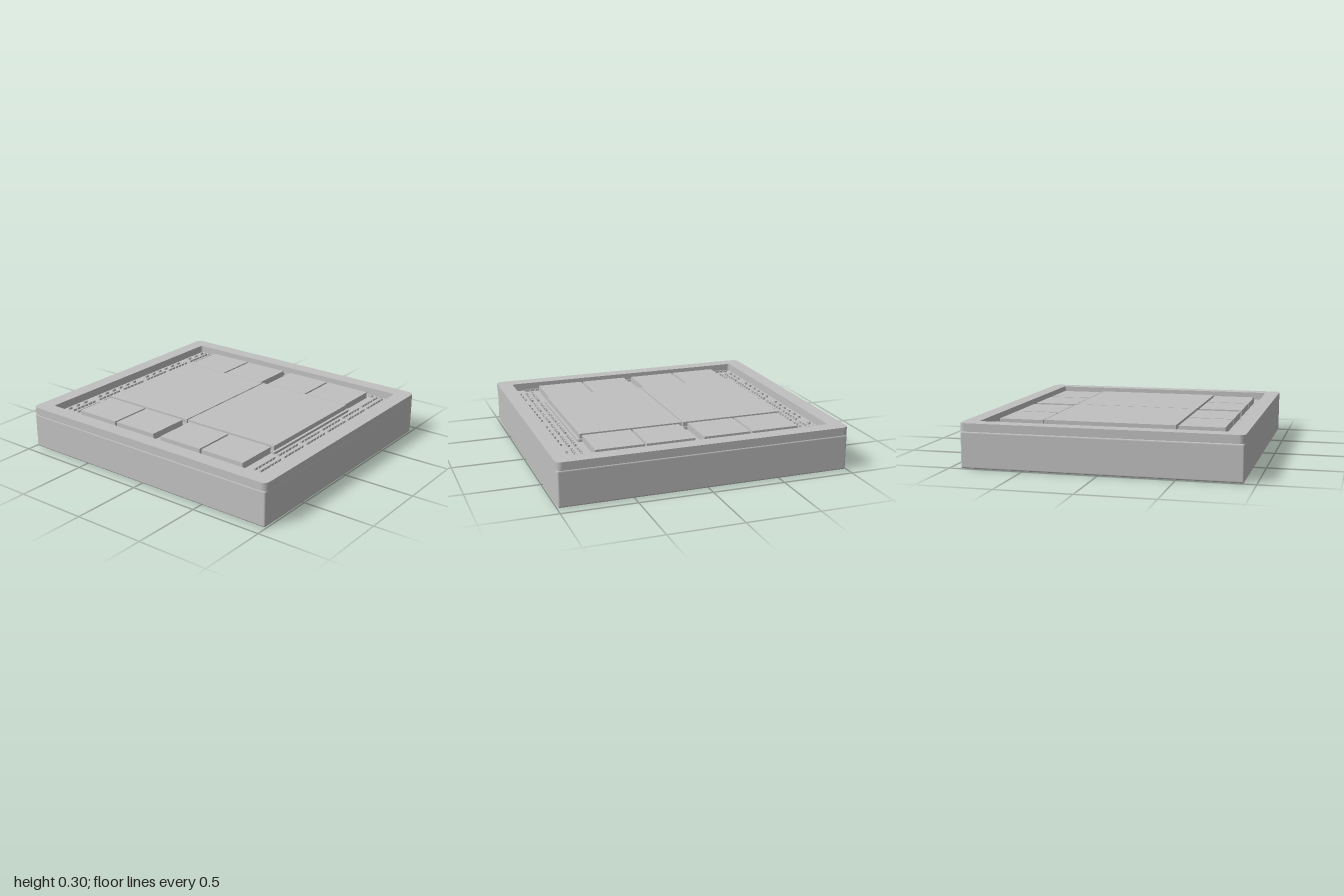
import * as THREE from 'three';
import { mergeGeometries } from 'three/addons/utils/BufferGeometryUtils.js';
import { RoundedBoxGeometry } from 'three/addons/geometries/RoundedBoxGeometry.js';

// Rounded rectangle centred on the origin; hx and hz are half sizes
function roundedRect(hx, hz, r, Type = THREE.Shape) {
  const s = new Type();
  s.absarc(hx - r, hz - r, r, 0, Math.PI / 2);
  s.absarc(-hx + r, hz - r, r, Math.PI / 2, Math.PI);
  s.absarc(-hx + r, -hz + r, r, Math.PI, Math.PI * 1.5);
  s.absarc(hx - r, -hz + r, r, Math.PI * 1.5, Math.PI * 2);
  s.closePath();
  return s;
}

// Flat slab extruded upwards from y0 to y1
function slab(shape, y0, y1) {
  const g = new THREE.ExtrudeGeometry(shape, { depth: y1 - y0, bevelEnabled: false, curveSegments: 8 });
  return g.rotateX(-Math.PI / 2).translate(0, y0, 0);
}

export function createModel() {
  const model = new THREE.Group();
  model.name = 'chipPackage';
  const grey = new THREE.MeshStandardMaterial({ color: 0xc0c0c0 });
  grey.name = 'grey';

  const add = (name, geometry) => {
    const mesh = new THREE.Mesh(geometry, grey);
    mesh.name = name;
    model.add(mesh);
    return mesh;
  };
  const box = (w, y0, y1, d, x, z) =>
    new THREE.BoxGeometry(w, y1 - y0, d).translate(x, (y0 + y1) / 2, z);

  const floor = 0.245;

  // Thick substrate with softened edges
  add('substrate', new RoundedBoxGeometry(1.985, floor, 1.845, 3, 0.012).translate(0, floor / 2, 0));

  // Raised stiffener frame with a rounded opening
  const ring = roundedRect(1, 0.927, 0.04);
  ring.holes.push(roundedRect(0.895, 0.825, 0.018, THREE.Path));
  add('stiffenerFrame', slab(ring, floor, 0.3));

  // Base plate below the two large dies
  add('underfillPlate', slab(roundedRect(0.738, 0.458, 0.015), floor - 0.005, 0.262));

  // Two main dies
  for (const s of [-1, 1]) {
    add(s < 0 ? 'rightDie' : 'leftDie', box(0.715, floor, 0.295, 0.886, s * 0.3625, 0));
  }

  // Eight memory stacks, four along the front and four along the back
  for (const sz of [-1, 1]) {
    for (const x of [-0.54, -0.196, 0.196, 0.54]) {
      add('memoryStack', box(0.329, floor, 0.29, 0.302, x, sz * 0.608));
    }
  }

  // Small capacitors in groups of six around the dies
  const capacitors = [];
  const step = 0.0374, period = 0.26, capTop = floor + 0.015;
  for (let g = 0; g < 7; g++) {
    for (let k = 0; k < 6; k++) {
      // Rows along the front and back
      const x = -0.845 + g * period + k * step;
      if (x < 0.8) {
        for (const z of [-0.795, 0.792]) capacitors.push(box(0.028, floor, capTop, 0.013, x, z));
      }
      // Columns along both sides; the outer one is half as dense
      if (g < 6) {
        const z = -0.777 + g * period + k * step;
        for (const s of [-1, 1]) {
          capacitors.push(box(0.013, floor, capTop, 0.028, s * 0.77, z));
          capacitors.push(box(0.013, floor, capTop, 0.028, s * 0.814, z));
          if (k % 2 === g % 2) capacitors.push(box(0.013, floor, capTop, 0.028, s * 0.858, z));
        }
      }
    }
  }
  add('capacitors', mergeGeometries(capacitors));

  return model;
}
